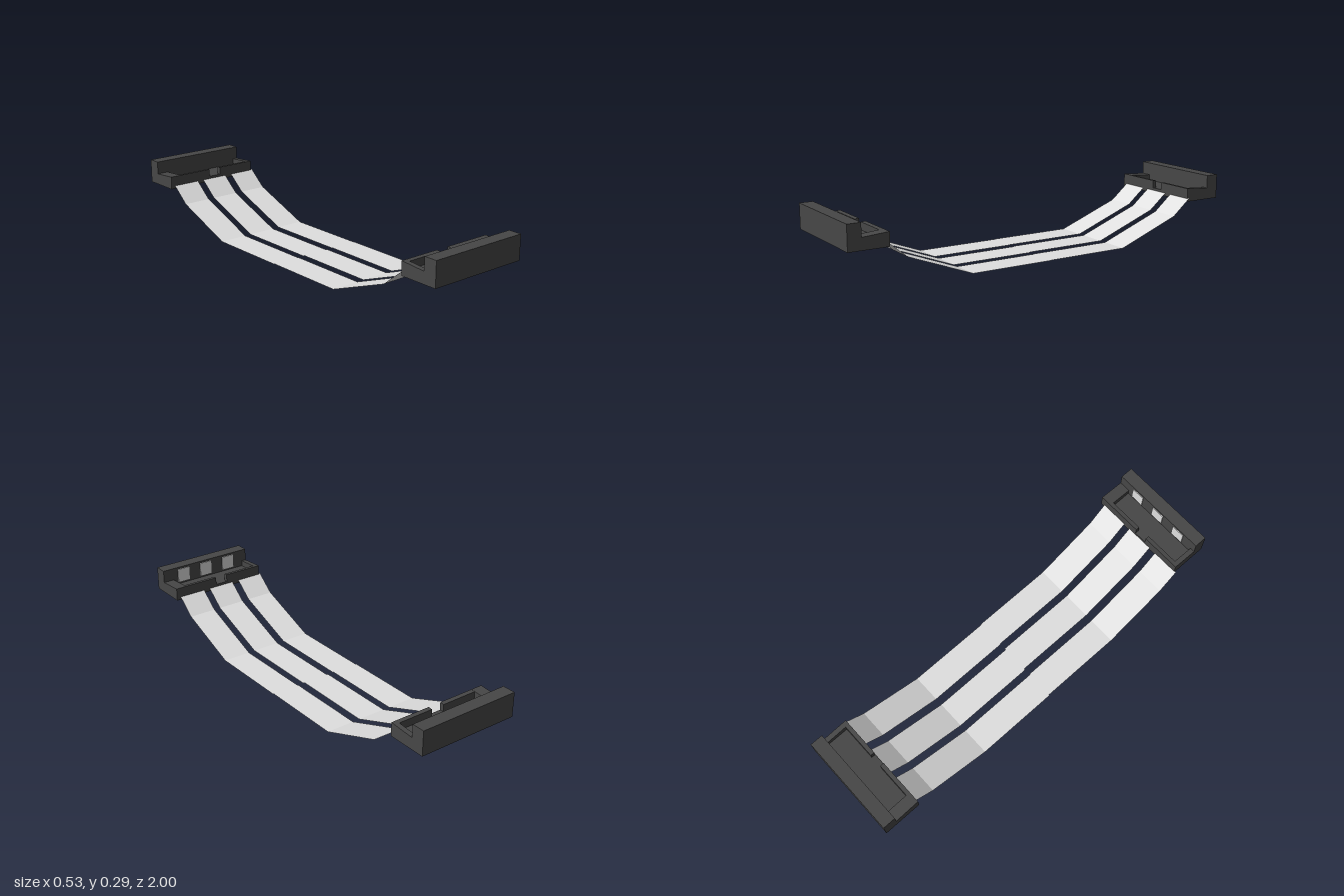
import * as THREE from 'three';

export function createModel() {
  const model = new THREE.Group();
  model.name = 'ribbonCable';

  const plastic = new THREE.MeshStandardMaterial({ color: 0x474747, flatShading: true });
  plastic.name = 'dark plastic';
  const ribbonMat = new THREE.MeshStandardMaterial({ color: 0xe0e0e0, flatShading: true, side: THREE.DoubleSide });
  ribbonMat.name = 'pale ribbon';

  // Side profile given as [z, y] points, swept from x0 to x1
  function sweep(name, profile, x0, x1) {
    const shape = new THREE.Shape(profile.map(([z, y]) => new THREE.Vector2(z, y)));
    const geo = new THREE.ExtrudeGeometry(shape, { depth: x1 - x0, bevelEnabled: false });
    geo.rotateY(-Math.PI / 2).translate(x1, 0, 0);
    const mesh = new THREE.Mesh(geo, plastic);
    mesh.name = name;
    return mesh;
  }

  const bottom = 0.178, top = 0.295, floor = 0.205;
  const wall = [[0.937, top], [1, top], [1, bottom]];
  const endProfile = [[0.812, bottom], [0.812, 0.242], [0.937, 0.233], ...wall];
  const lipProfile = [[0.812, bottom], [0.812, 0.242], [0.832, 0.24], [0.832, floor], [0.937, floor], ...wall];
  const notchProfile = [[0.812, bottom], [0.812, floor], [0.937, floor], ...wall];

  // Connector: tall outer wall, shallow tray and a notched inner lip
  function makeConnector() {
    const g = new THREE.Group();
    g.add(
      sweep('connectorEnd', endProfile, -0.232, -0.208),
      sweep('connectorLip', lipProfile, -0.208, -0.032),
      sweep('connectorNotch', notchProfile, -0.032, 0.032),
      sweep('connectorLip', lipProfile, 0.032, 0.209),
      sweep('connectorEnd', endProfile, 0.209, 0.266),
    );
    return g;
  }

  // Ribbon half: a sheet bent at given [z, y] stations
  const stations = [[0, 0], [0.41, 0], [0.72, 0.117], [0.815, 0.195]];
  function makeRibbon(x) {
    const geo = new THREE.PlaneGeometry(0.139, 1, 1, stations.length - 1);
    const pos = geo.attributes.position;
    for (let i = 0; i < pos.count; i++) {
      const [z, y] = stations[Math.floor(i / 2)];
      pos.setXYZ(i, pos.getX(i) + x, y, z);
    }
    const flat = geo.toNonIndexed();
    flat.computeVertexNormals();
    const mesh = new THREE.Mesh(flat, ribbonMat);
    mesh.name = 'ribbon';
    return mesh;
  }

  // Each half is the other turned half a revolution
  for (const [name, turn] of [['frontHalf', 0], ['backHalf', Math.PI]]) {
    const half = new THREE.Group();
    half.name = name;
    const connector = makeConnector();
    connector.name = 'connector';
    half.add(connector);
    for (const x of [-0.172, 0.0035, 0.1755]) half.add(makeRibbon(x));
    half.rotation.y = turn;
    model.add(half);
  }

  // Contact pads on the inner wall of the front connector
  for (const x of [-0.118, 0.017, 0.15]) {
    const pad = new THREE.Mesh(new THREE.BoxGeometry(0.066, 0.069, 0.006), ribbonMat);
    pad.name = 'contactPad';
    pad.position.set(x, 0.25, 0.936);
    model.add(pad);
  }
  return model;
}
